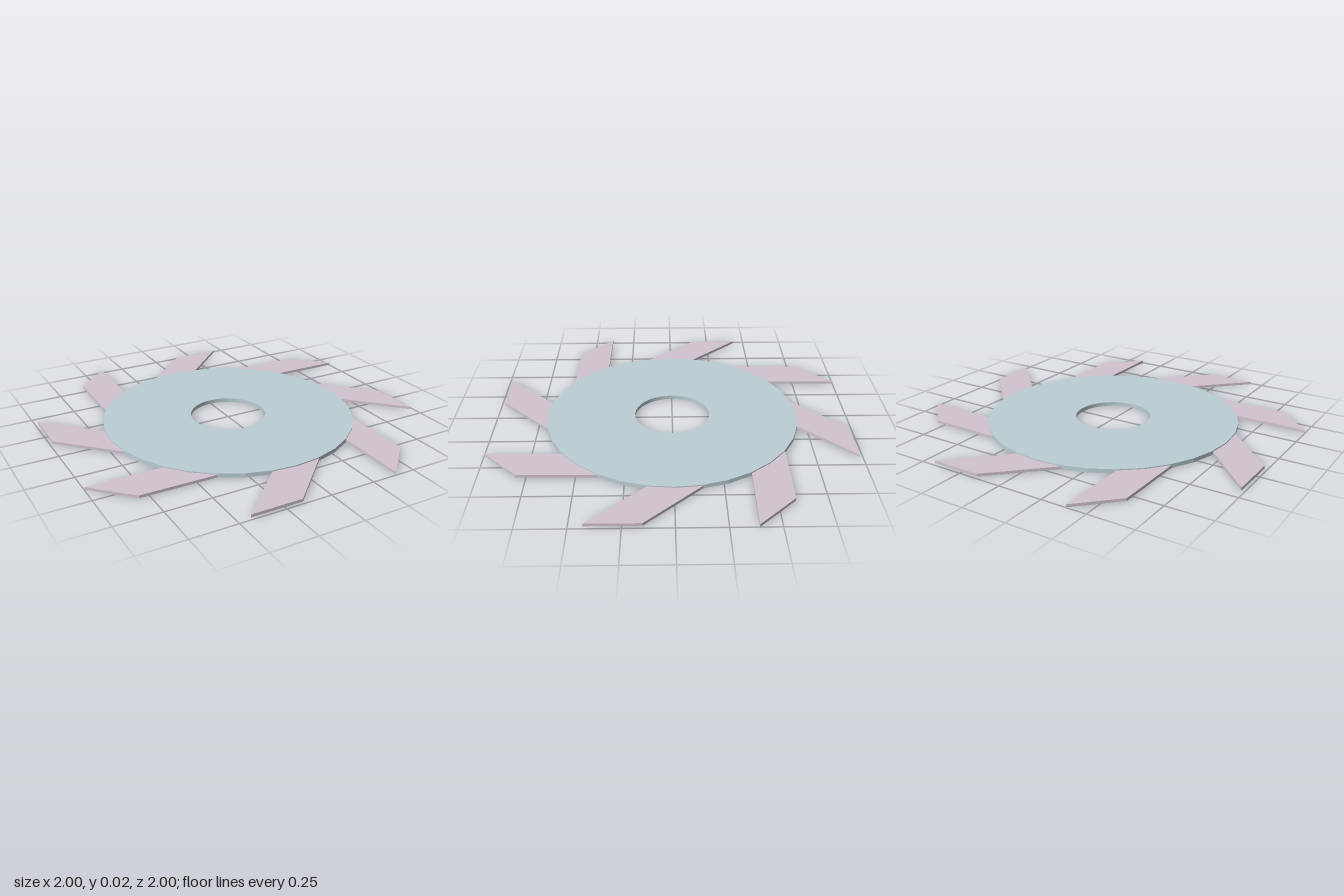
import * as THREE from 'three';

const DISC_SIDES = 32, HOLE_SIDES = 64, BLADES = 8;

// Extrude a flat outline upwards, lying on the ground plane
function slab(shape, height) {
  const geo = new THREE.ExtrudeGeometry(shape, { depth: height, bevelEnabled: false });
  return geo.rotateX(-Math.PI / 2);
}

function ring(radius, sides) {
  return Array.from({ length: sides }, (_, i) => {
    const a = (i / sides) * Math.PI * 2;
    return new THREE.Vector2(radius * Math.cos(a), radius * Math.sin(a));
  });
}

export function createModel() {
  const model = new THREE.Group();
  model.name = 'cuttingWheel';

  // Disc with a centre bore
  const outline = new THREE.Shape(ring(0.71, DISC_SIDES));
  outline.holes.push(new THREE.Path(ring(0.212, HOLE_SIDES).reverse()));
  const disc = new THREE.Mesh(
    slab(outline, 0.022),
    new THREE.MeshStandardMaterial({ color: 0xbbced4 })
  );
  disc.name = 'disc';
  model.add(disc);

  // Slanted blades, rooted just inside the rim
  const bladeShape = new THREE.Shape([
    new THREE.Vector2(0.66, 0.18),
    new THREE.Vector2(0.66, -0.1),
    new THREE.Vector2(0.983, -0.431),
    new THREE.Vector2(0.983, -0.152),
  ]);
  const bladeGeo = slab(bladeShape, 0.015);
  const bladeMat = new THREE.MeshStandardMaterial({ color: 0xd2c4d0 });
  const blades = new THREE.Group();
  blades.name = 'blades';
  for (let i = 0; i < BLADES; i++) {
    const blade = new THREE.Mesh(bladeGeo, bladeMat);
    blade.name = `blade${i + 1}`;
    blade.position.y = 0.001;
    blade.rotation.y = (i / BLADES) * Math.PI * 2;
    blades.add(blade);
  }
  model.add(blades);

  return model;
}
